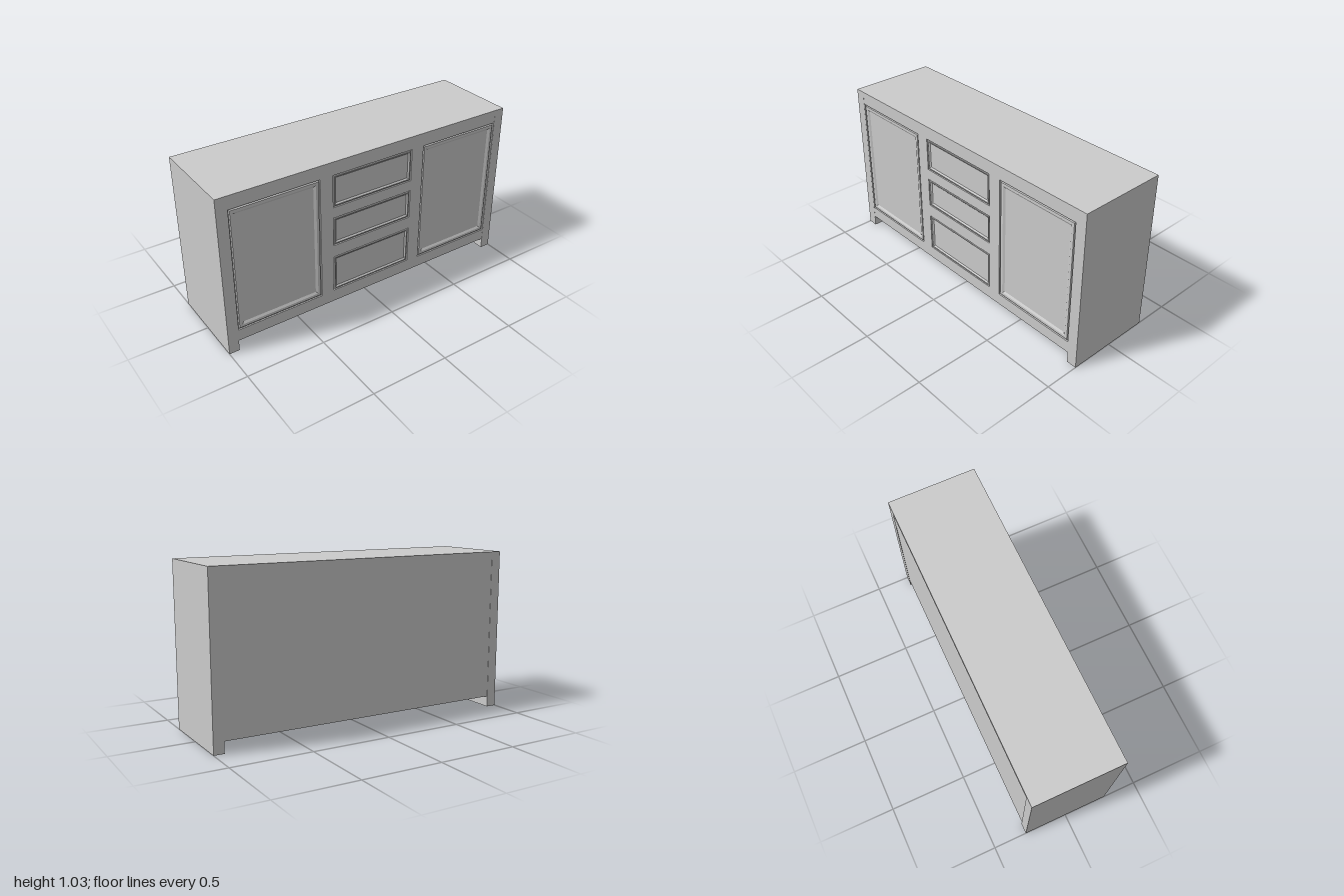
import * as THREE from 'three';

const W = 1, H = 1.03, D = 0.282; // half width, height, half depth
const mat = new THREE.MeshStandardMaterial({ color: 0xcccccc, flatShading: true });

// Box given by its limits on each axis
function box(name, x0, x1, y0, y1, z0, z1) {
  const m = new THREE.Mesh(new THREE.BoxGeometry(x1 - x0, y1 - y0, z1 - z0), mat);
  m.position.set((x0 + x1) / 2, (y0 + y1) / 2, (z0 + z1) / 2);
  m.name = name;
  return m;
}

// Moulded front: concentric rectangles [inset, z] joined in order, last one filled
function mouldedFront(name, [x0, x1, y0, y1], rings) {
  const pos = [], idx = [];
  for (const [i, z] of rings) {
    pos.push(x0 + i, y0 + i, z, x1 - i, y0 + i, z, x1 - i, y1 - i, z, x0 + i, y1 - i, z);
  }
  for (let r = 0; r < rings.length - 1; r++) {
    for (let k = 0; k < 4; k++) {
      const a = r * 4 + k, b = r * 4 + (k + 1) % 4;
      idx.push(a, b, b + 4, a, b + 4, a + 4);
    }
  }
  const c = (rings.length - 1) * 4;
  idx.push(c, c + 1, c + 2, c, c + 2, c + 3);
  const g = new THREE.BufferGeometry();
  g.setAttribute('position', new THREE.Float32BufferAttribute(pos, 3));
  g.setIndex(idx);
  const flat = g.toNonIndexed();
  flat.computeVertexNormals();
  const m = new THREE.Mesh(flat, mat);
  m.name = name;
  return m;
}

function rectPath(path, [x0, x1, y0, y1]) {
  path.moveTo(x0, y0);
  path.lineTo(x1, y0);
  path.lineTo(x1, y1);
  path.lineTo(x0, y1);
  path.closePath();
  return path;
}

export function createModel() {
  const group = new THREE.Group();
  group.name = 'sideboard';

  const doors = [[-0.93, -0.365, 0.145, 0.945], [0.365, 0.93, 0.145, 0.945]];
  const drawers = [[0.15, 0.395], [0.475, 0.665], [0.735, 0.945]].map(([a, b]) => [-0.28, 0.28, a, b]);

  // Top board, end panels that reach the floor, and the body between them
  group.add(box('top', -W, W, 0.99, H, -D, D));
  group.add(box('rightEndPanel', -W, -0.935, 0, 0.99, -D, D));
  group.add(box('leftEndPanel', 0.935, W, 0, 0.99, -D, D));
  group.add(box('body', -0.935, 0.935, 0.07, 0.99, -D + 0.002, D - 0.02));

  // Face frame with an opening for every door and drawer
  const face = rectPath(new THREE.Shape(), [-0.935, 0.935, 0.07, 0.99]);
  for (const r of [...doors, ...drawers]) face.holes.push(rectPath(new THREE.Path(), r));
  const frame = new THREE.Mesh(new THREE.ExtrudeGeometry(face, { depth: 0.02, bevelEnabled: false }), mat);
  frame.position.z = D - 0.021;
  frame.name = 'faceFrame';
  group.add(frame);

  // Doors: thin gap, flat rim, bevel down to a sunken panel
  const doorRings = [[0, D - 0.01], [0.006, D - 0.01], [0.01, D - 0.002], [0.027, D - 0.002], [0.04, D - 0.01]];
  doors.forEach((r, i) => group.add(mouldedFront(i ? 'leftDoor' : 'rightDoor', r, doorRings)));

  // Drawer fronts: the same moulding on a smaller scale
  const drawerRings = [[0, D - 0.01], [0.004, D - 0.01], [0.007, D - 0.002], [0.014, D - 0.002], [0.023, D - 0.01]];
  drawers.forEach((r, i) => group.add(mouldedFront(['bottom', 'middle', 'top'][i] + 'Drawer', r, drawerRings)));

  return group;
}
